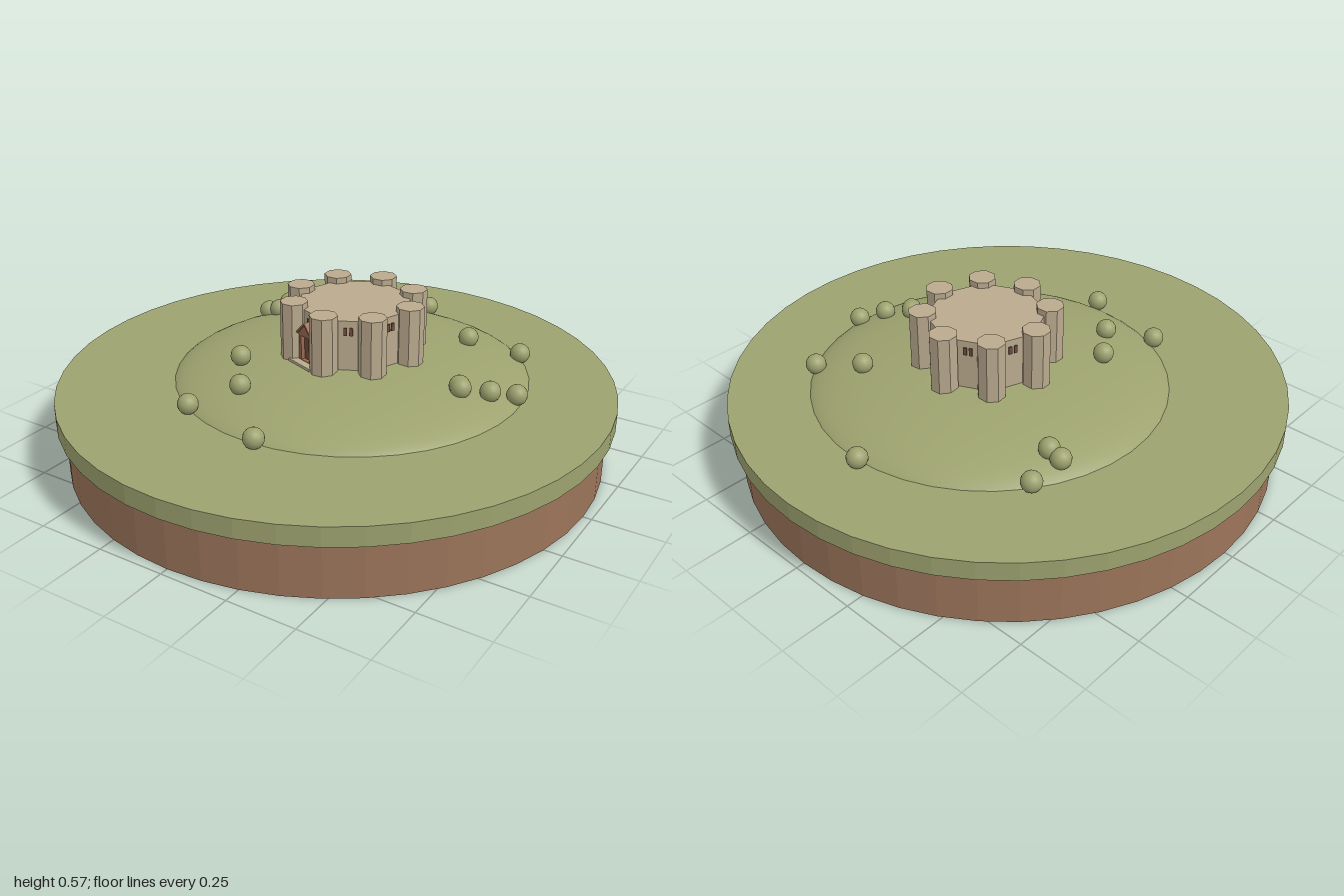
import * as THREE from 'three';

const mat = (name, color, flatShading = false) => {
  const m = new THREE.MeshStandardMaterial({ color });
  m.name = name;
  m.flatShading = flatShading;
  return m;
};

function add(parent, name, geometry, material, x = 0, y = 0, z = 0) {
  const mesh = new THREE.Mesh(geometry, material);
  mesh.name = name;
  mesh.position.set(x, y, z);
  parent.add(mesh);
  return mesh;
}

// Outline of the gabled gate, standing on y = 0
function gableShape(halfWidth, eaves, peak) {
  const s = new THREE.Shape();
  s.moveTo(-halfWidth, 0);
  s.lineTo(halfWidth, 0);
  s.lineTo(halfWidth, eaves);
  s.lineTo(0, peak);
  s.lineTo(-halfWidth, eaves);
  s.closePath();
  return s;
}

export function createModel() {
  const turf = mat('turf green', 0x9da26f, true);
  const grass = mat('grass green', 0x9da26f);
  const earth = mat('earth brown', 0x9b745a, true);
  const stone = mat('stone beige', 0xbaaa8e, true);
  const timber = mat('timber brown', 0x96694f, true);
  const dark = mat('opening brown', 0x6e4c3a, true);

  const model = new THREE.Group();
  model.name = 'castleOnHill';

  // Round base: earth below, turf on top
  add(model, 'earthBase', new THREE.CylinderGeometry(0.97, 0.97, 0.2, 48), earth, 0, 0.1, 0);
  add(model, 'turfDisc', new THREE.CylinderGeometry(1, 1, 0.07, 48), turf, 0, 0.235, 0);

  // Low domed hill, its rim sunk into the turf
  const dome = new THREE.SphereGeometry(1, 40, 16, 0, Math.PI * 2, 0, Math.PI / 2);
  add(model, 'hill', dome, grass, 0.025, 0.245, -0.068).scale.set(0.657, 0.12, 0.657);

  // Castle: eight-sided keep ringed by eight towers
  const castle = new THREE.Group();
  castle.name = 'castle';
  castle.position.set(0.027, 0.35, -0.08);
  castle.rotation.y = 0.05;
  model.add(castle);

  const ring = 0.222, apothem = 0.212 * Math.cos(Math.PI / 8);
  add(castle, 'keep', new THREE.CylinderGeometry(0.212, 0.212, 0.194, 8), stone, 0, 0.097, 0);

  const towerGeometry = new THREE.CylinderGeometry(0.05, 0.05, 0.216, 8);
  const windowGeometry = new THREE.BoxGeometry(0.012, 0.028, 0.006);
  for (let i = 0; i < 8; i++) {
    const a = i * Math.PI / 4;
    const tower = add(castle, 'tower', towerGeometry, stone, ring * Math.sin(a), 0.108, ring * Math.cos(a));
    tower.rotation.y = a + Math.PI / 8;

    // Pair of narrow windows in each wall
    const wall = new THREE.Group();
    wall.name = 'wallWindows';
    wall.rotation.y = a + Math.PI / 8;
    castle.add(wall);
    for (const side of [-1, 1]) {
      add(wall, 'window', windowGeometry, dark, side * 0.01, 0.155, apothem + 0.002);
    }
  }

  // Gabled gate in the front wall, left of the foremost tower
  const gate = new THREE.Group();
  gate.name = 'gate';
  gate.rotation.y = -Math.PI / 8;
  castle.add(gate);
  const frame = gableShape(0.036, 0.105, 0.142);
  const opening = new THREE.Path();
  opening.moveTo(-0.022, 0.004);
  opening.lineTo(-0.022, 0.095);
  opening.lineTo(0.022, 0.095);
  opening.lineTo(0.022, 0.004);
  opening.closePath();
  frame.holes.push(opening);
  add(gate, 'gateFrame', new THREE.ExtrudeGeometry(frame, { depth: 0.026, bevelEnabled: false }),
    timber, 0, 0.014, apothem);
  add(gate, 'gateDoor', new THREE.BoxGeometry(0.046, 0.1, 0.01), dark, 0, 0.062, apothem + 0.006);
  for (const side of [-1, 1]) {
    const slope = add(gate, 'gateRoof', new THREE.BoxGeometry(0.06, 0.007, 0.032),
      timber, side * 0.021, 0.138, apothem + 0.015);
    slope.rotation.z = -side * 0.8;
  }
  add(gate, 'gateStep', new THREE.BoxGeometry(0.12, 0.016, 0.055), stone, 0, 0.008, apothem + 0.027);

  // Round bushes scattered over the hill: x, y, z
  const bushGeometry = new THREE.SphereGeometry(0.037, 16, 12);
  const bushes = [
    [-0.01, 0.298, -0.725], [-0.51, 0.306, -0.44], [0.51, 0.306, -0.47], [0.33, 0.355, -0.4],
    [-0.51, 0.317, -0.3], [-0.46, 0.333, -0.3], [0.645, 0.305, -0.145], [0.577, 0.33, -0.072],
    [0.485, 0.35, -0.02], [0.495, 0.348, -0.01], [-0.265, 0.37, 0.215], [-0.15, 0.35, 0.375],
    [-0.27, 0.302, 0.512], [0.06, 0.3, 0.587],
  ];
  for (const [x, y, z] of bushes) add(model, 'bush', bushGeometry, grass, x, y, z);

  return model;
}
